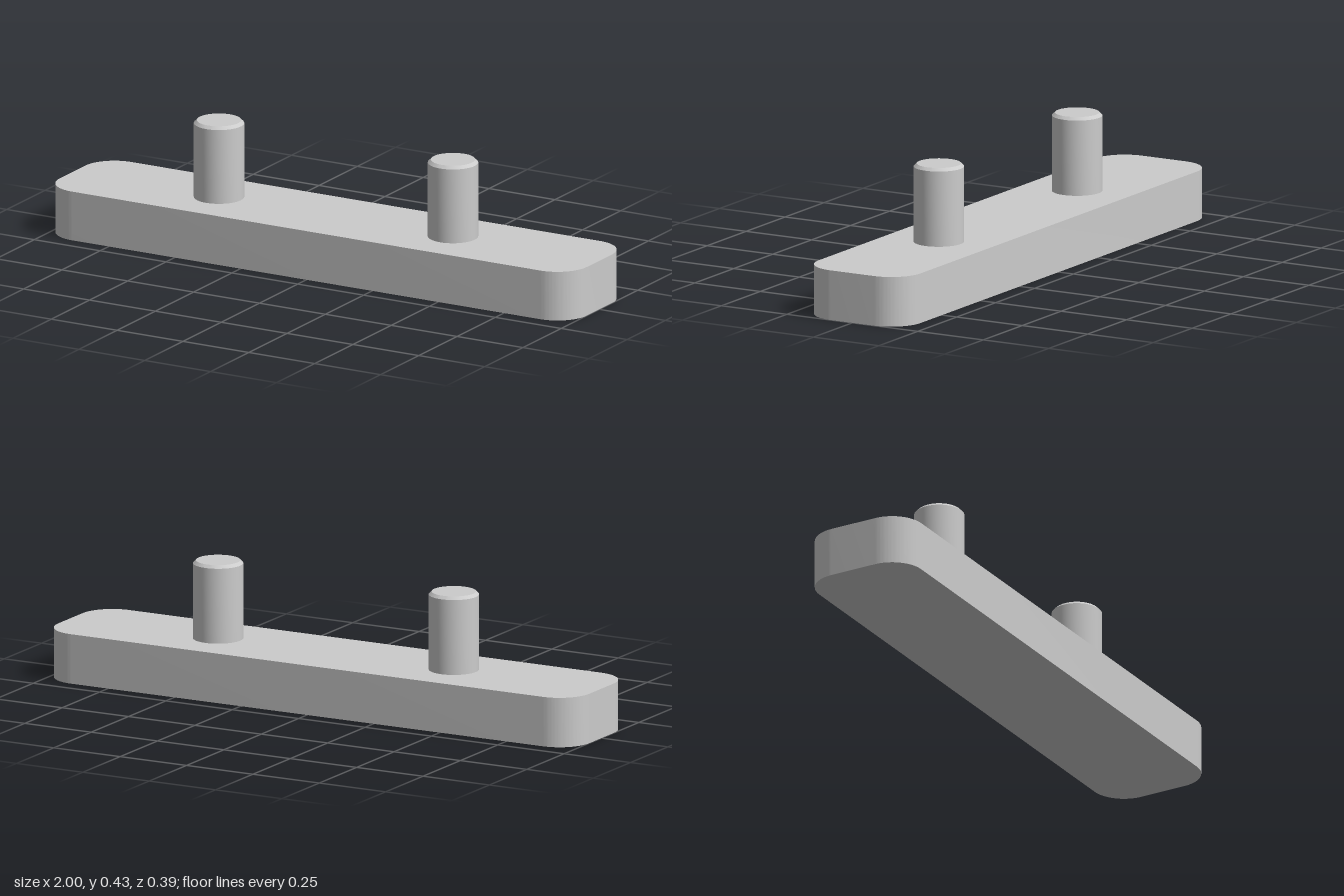
import * as THREE from 'three';
import { toCreasedNormals } from 'three/addons/utils/BufferGeometryUtils.js';

const material = new THREE.MeshStandardMaterial({ color: 0xcccccc });
const halfLength = 1, halfWidth = 0.194, plateHeight = 0.167, cornerRadius = 0.111;

// Flat bar with rounded vertical corners
function createPlate() {
  const x = halfLength - cornerRadius, y = halfWidth - cornerRadius;
  const shape = new THREE.Shape();
  [[x, y], [-x, y], [-x, -y], [x, -y]].forEach(([cx, cy], i) =>
    shape.absarc(cx, cy, cornerRadius, i * Math.PI / 2, (i + 1) * Math.PI / 2));
  shape.closePath();
  const geometry = new THREE.ExtrudeGeometry(shape, { depth: plateHeight, bevelEnabled: false, curveSegments: 16 });
  geometry.rotateX(-Math.PI / 2);
  const plate = new THREE.Mesh(toCreasedNormals(geometry, Math.PI / 6), material);
  plate.name = 'basePlate';
  return plate;
}

// Upright pin with a small chamfer around its top
function createPin(name, x) {
  const profile = [[0, plateHeight], [0.083, plateHeight], [0.083, 0.42], [0.073, 0.43], [0, 0.43]]
    .map(([r, y]) => new THREE.Vector2(r, y));
  const geometry = toCreasedNormals(new THREE.LatheGeometry(profile, 48), Math.PI / 6);
  const pin = new THREE.Mesh(geometry, material);
  pin.name = name;
  pin.position.x = x;
  return pin;
}

export function createModel() {
  const model = new THREE.Group();
  model.name = 'pinnedPlate';
  model.add(createPlate(), createPin('leftPin', 0.444), createPin('rightPin', -0.444));
  return model;
}
